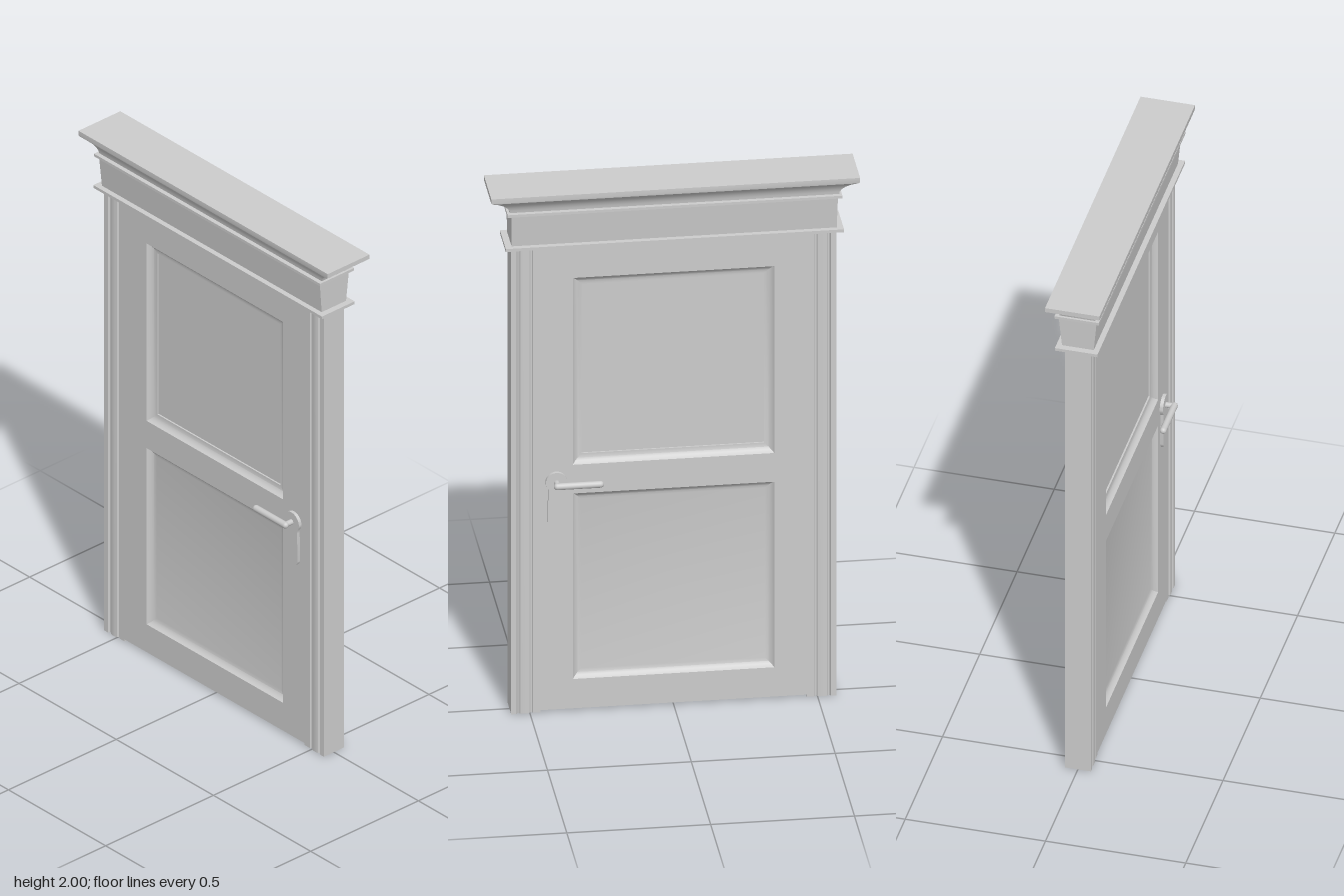
import * as THREE from 'three';
import { toCreasedNormals } from 'three/addons/utils/BufferGeometryUtils.js';

const grey = new THREE.MeshStandardMaterial({ color: 0xcccccc });

function add(parent, name, geometry) {
  const mesh = new THREE.Mesh(geometry, grey);
  mesh.name = name;
  parent.add(mesh);
  return mesh;
}

// Joins rectangular rings [halfX, halfZ, y]; a zero-size ring closes an end.
function loft(rings) {
  const pos = [];
  const corner = ([a, b, y], j) => [
    [a, y, b], [a, y, -b], [-a, y, -b], [-a, y, b],
  ][j % 4];
  for (let i = 0; i < rings.length - 1; i++) {
    for (let j = 0; j < 4; j++) {
      const A = corner(rings[i], j), B = corner(rings[i], j + 1);
      const C = corner(rings[i + 1], j + 1), D = corner(rings[i + 1], j);
      pos.push(...A, ...B, ...C, ...A, ...C, ...D);
    }
  }
  const g = new THREE.BufferGeometry();
  g.setAttribute('position', new THREE.Float32BufferAttribute(pos, 3));
  return toCreasedNormals(g, 0.6);
}

function rectPath(halfW, y0, y1) {
  return new THREE.Path([
    [-halfW, y0], [-halfW, y1], [halfW, y1], [halfW, y0],
  ].map(p => new THREE.Vector2(...p)));
}

// Extrudes a (z, y) outline along x, centred on x = 0.
function extrudeX(shape, depth, curveSegments = 12) {
  const g = new THREE.ExtrudeGeometry(shape, { depth, bevelEnabled: false, curveSegments });
  g.translate(0, 0, -depth / 2);
  g.rotateY(-Math.PI / 2); // shape x becomes z
  return toCreasedNormals(g, 0.6);
}

const FACE = 0.043;
const PANELS = [
  { name: 'lowerPanel', y0: 0.12, y1: 0.83, step: 0 },
  { name: 'upperPanel', y0: 0.94, y1: 1.655, step: 0.006 },
];
const PANEL_W = 0.35;

function makeLeaf() {
  const leaf = new THREE.Group();
  leaf.name = 'doorLeaf';
  const outline = new THREE.Shape(rectPath(0.463, 0.008, 1.77).getPoints());
  for (const p of PANELS) outline.holes.push(rectPath(PANEL_W, p.y0, p.y1));
  add(leaf, 'stilesAndRails', extrudeX(outline, 2 * FACE));

  // Coved, recessed panels on both faces
  for (const p of PANELS) {
    const halfH = (p.y1 - p.y0) / 2;
    const rings = [[0, FACE], [0.004, 0.037], [0.01, 0.031], [0.018, 0.026], [0.03, 0.023]];
    if (p.step) rings.push([0.033, 0.023], [0.033, 0.023 - p.step]);
    const list = rings.map(([inset, x]) => [halfH - inset, PANEL_W - inset, x]);
    list.push([0, 0, rings[rings.length - 1][1]]);
    for (const s of [1, -1]) {
      const g = loft(list).rotateZ(-Math.PI / 2);
      if (s < 0) g.rotateY(Math.PI);
      add(leaf, p.name, g).position.y = (p.y0 + p.y1) / 2;
    }
  }
  return leaf;
}

function makeFrame() {
  const frame = new THREE.Group();
  frame.name = 'doorFrame';
  // Jamb section [x, z] with a wide bead between two grooves
  const half = [
    [0.046, 0.565], [0.046, 0.546], [0.038, 0.543], [0.038, 0.538], [0.044, 0.533],
    [0.046, 0.525], [0.046, 0.51], [0.044, 0.502], [0.038, 0.497], [0.038, 0.492],
    [FACE, 0.489], [FACE, 0.463],
  ];
  for (const s of [1, -1]) {
    const pts = [...half, ...half.map(([x, z]) => [-x, z]).reverse()]
      .map(([x, z]) => new THREE.Vector2(x, -z * s));
    const g = new THREE.ExtrudeGeometry(new THREE.Shape(pts), { depth: 1.79, bevelEnabled: false });
    g.rotateX(-Math.PI / 2);
    add(frame, s > 0 ? 'leftJamb' : 'rightJamb', toCreasedNormals(g, 0.6));
  }
  add(frame, 'headRail', new THREE.BoxGeometry(2 * FACE, 0.016, 0.94)).position.y = 1.782;
  return frame;
}

function makeHeader() {
  const header = new THREE.Group();
  header.name = 'header';
  add(header, 'lowerLedge', new THREE.BoxGeometry(0.152, 0.011, 1.176)).position.y = 1.791;
  add(header, 'frieze', loft([
    [0, 0, 1.79], [0.056, 0.565, 1.79], [0.068, 0.568, 1.92], [0, 0, 1.92],
  ]));
  add(header, 'upperLedge', new THREE.BoxGeometry(0.158, 0.01, 1.164)).position.y = 1.922;
  // Cove sweeping out to the flat top
  add(header, 'cornice', loft([
    [0, 0, 1.92], [0.062, 0.572, 1.92], [0.064, 0.574, 1.936], [0.068, 0.582, 1.948],
    [0.075, 0.596, 1.96], [0.084, 0.613, 1.97], [0.096, 0.635, 1.979],
    [0.097, 0.641, 1.983], [0.097, 0.641, 2], [0, 0, 2],
  ]));
  return header;
}

function makeHandle(s) {
  const handle = new THREE.Group();
  handle.name = s > 0 ? 'handleLeft' : 'handleRight';
  const z = 0.408, y = 0.88;
  // Back plate: round head, narrower tail
  const plate = new THREE.Shape();
  plate.moveTo(-0.031, 0.735);
  plate.quadraticCurveTo(-0.03, 0.708, 0, 0.708);
  plate.quadraticCurveTo(0.03, 0.708, 0.031, 0.735);
  plate.lineTo(0.029, 0.845);
  plate.absarc(0, y, 0.038, -0.7, Math.PI + 0.7, false);
  plate.lineTo(-0.031, 0.735);
  add(handle, 'backPlate', extrudeX(plate, 0.016)).position.set(s * 0.047, 0, z);

  const neck = new THREE.CylinderGeometry(0.01, 0.01, 0.04, 16).rotateZ(Math.PI / 2);
  add(handle, 'neck', neck).position.set(s * 0.066, y, z);
  const lever = new THREE.CapsuleGeometry(0.012, 0.15, 6, 16).rotateX(Math.PI / 2);
  add(handle, 'lever', lever).position.set(s * 0.085, y, 0.335);
  return handle;
}

export function createModel() {
  const model = new THREE.Group();
  model.name = 'panelledDoor';
  model.add(makeLeaf(), makeFrame(), makeHeader(), makeHandle(1), makeHandle(-1));
  return model;
}
